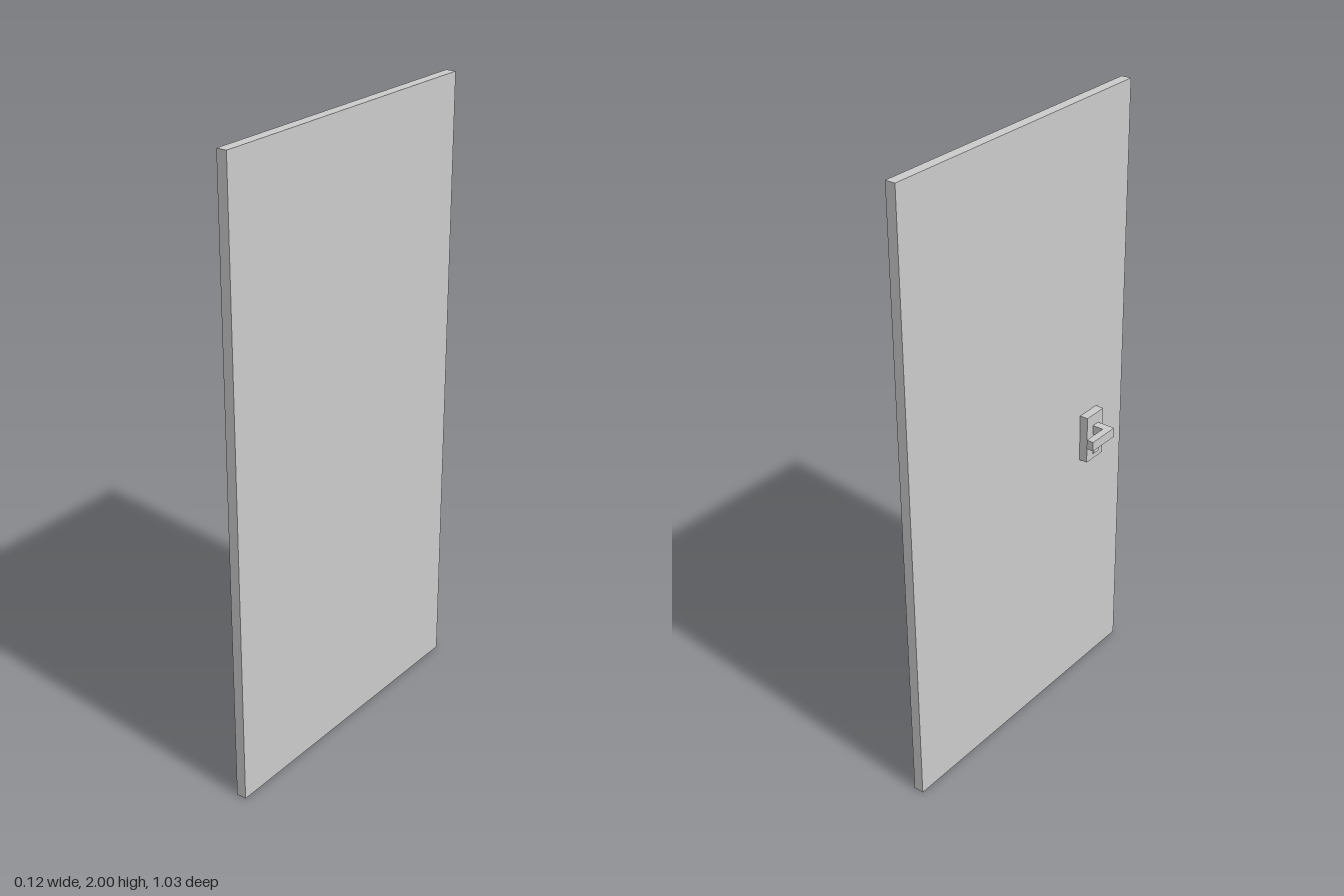
import * as THREE from 'three';

export function createModel() {
  const group = new THREE.Group();
  const material = new THREE.MeshStandardMaterial({ color: 0xcccccc, flatShading: true });

  const add = (name, geometry) => {
    const mesh = new THREE.Mesh(geometry, material);
    mesh.name = name;
    group.add(mesh);
    return mesh;
  };

  // Box given by its lower and upper corners
  const box = (name, [x0, y0, z0], [x1, y1, z1]) =>
    add(name, new THREE.BoxGeometry(x1 - x0, y1 - y0, z1 - z0))
      .position.set((x0 + x1) / 2, (y0 + y1) / 2, (z0 + z1) / 2);

  // Door leaf and the plate behind the handle
  box('doorPanel', [0.028, 0, -0.515], [0.061, 2, 0.515]);
  box('handlePlate', [0, 0.815, 0.291], [0.028, 0.975, 0.376]);

  // L-shaped lever: plan outline (x, -z) raised along y
  const plan = new THREE.Shape([
    [0, -0.35], [0, -0.322], [-0.037, -0.322], [-0.037, -0.237], [-0.061, -0.237], [-0.061, -0.35],
  ].map(([x, y]) => new THREE.Vector2(x, y)));
  const lever = new THREE.ExtrudeGeometry(plan, { depth: 0.032, bevelEnabled: false });
  lever.rotateX(-Math.PI / 2);
  add('handleLever', lever).position.y = 0.904;

  // Keyhole cover: round head over a flared skirt, tipped out at the bottom
  const outline = new THREE.Shape();
  outline.moveTo(-0.015, -0.024);
  outline.lineTo(0.015, -0.024);
  outline.lineTo(0.009, 0);
  outline.absarc(0, 0.009, 0.0127, -Math.PI / 4, Math.PI * 1.25, false);
  outline.lineTo(-0.009, 0);
  const cover = new THREE.ExtrudeGeometry(outline, { depth: 0.004, bevelEnabled: false, curveSegments: 8 });
  cover.rotateY(-Math.PI / 2);
  const keyhole = add('keyholeCover', cover);
  keyhole.position.set(0, 0.86, 0.335);
  keyhole.rotation.z = -0.1;

  return group;
}
